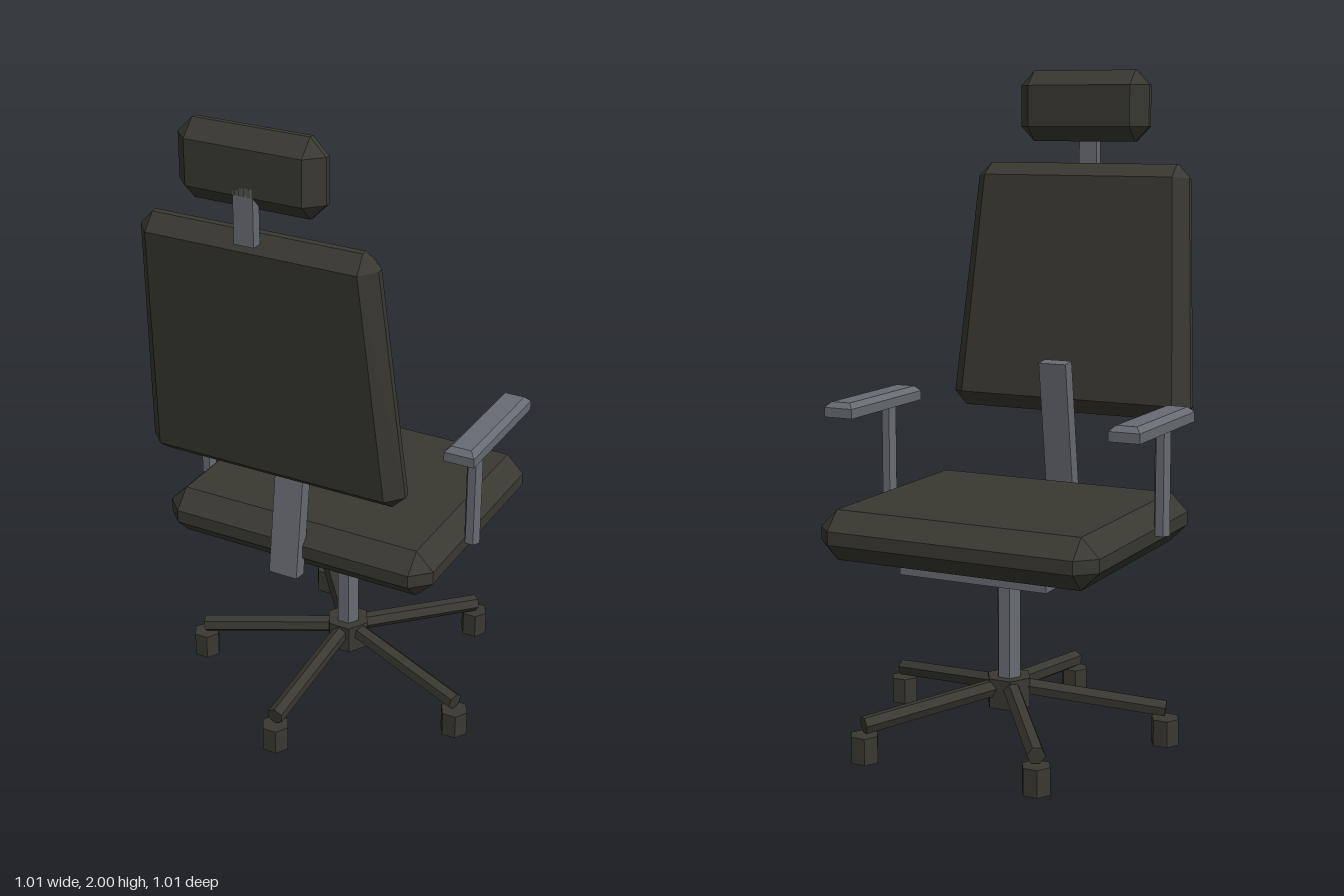
import * as THREE from 'three';
import { ConvexGeometry } from 'three/addons/geometries/ConvexGeometry.js';

const dark = new THREE.MeshStandardMaterial({ color: 0x393831 });
dark.name = 'charcoal upholstery';
const grey = new THREE.MeshStandardMaterial({ color: 0x686b73 });
grey.name = 'grey metal';

// Box with every edge chamfered by b; taper(y) scales the width
function chamferBox(w, h, d, b, taper = () => 1) {
  const points = [];
  for (const sx of [-1, 1]) for (const sy of [-1, 1]) for (const sz of [-1, 1]) {
    for (const [ix, iy, iz] of [[0, b, b], [b, 0, b], [b, b, 0]]) {
      const y = sy * (h / 2 - iy);
      points.push(new THREE.Vector3(sx * (w / 2 - ix) * taper(y), y, sz * (d / 2 - iz)));
    }
  }
  return new ConvexGeometry(points);
}

// Slab with only its top edges chamfered
function padGeometry(w, h, d, b) {
  const points = [];
  for (const sx of [-1, 1]) for (const sz of [-1, 1]) {
    for (const [y, i] of [[-h / 2, 0], [h / 2 - b, 0], [h / 2, b]]) {
      points.push(new THREE.Vector3(sx * (w / 2 - i), y, sz * (d / 2 - i)));
    }
  }
  return new ConvexGeometry(points);
}

// Upright hexagonal prism with corners on the x axis, flat-sided
function hexPrism(r, h) {
  const g = new THREE.CylinderGeometry(r, r, h, 6).rotateY(Math.PI / 6).toNonIndexed();
  g.computeVertexNormals();
  return g;
}

export function createModel() {
  const chair = new THREE.Group();
  chair.name = 'officeChair';

  const add = (name, geometry, material, x, y, z, tilt = 0) => {
    const mesh = new THREE.Mesh(geometry, material);
    mesh.name = name;
    mesh.position.set(x, y, z);
    mesh.rotation.x = tilt;
    chair.add(mesh);
    return mesh;
  };

  // Cushions
  add('seat', chamferBox(0.89, 0.15, 0.765, 0.055), dark, 0, 0.655, -0.0875);
  const backHeight = 0.785;
  const backTaper = (y) => 1 - (0.07 * y) / (backHeight / 2);
  add('backrest', chamferBox(0.772, backHeight, 0.104, 0.043, backTaper), dark, 0, 1.322, 0.395, 0.12);
  add('headrest', chamferBox(0.44, 0.22, 0.108, 0.046), dark, 0, 1.89, 0.453);

  // Supports
  add('headrestPost', new THREE.BoxGeometry(0.06, 0.16, 0.032), grey, 0, 1.77, 0.491);
  add('backStrut', new THREE.BoxGeometry(0.092, 0.53, 0.045), grey, 0, 0.843, 0.275, -0.14);
  const axisZ = -0.08;
  add('underPlate', new THREE.BoxGeometry(0.475, 0.05, 0.475), grey, 0, 0.555, axisZ);
  add('column', hexPrism(0.038, 0.37), grey, 0, 0.345, axisZ);

  // Armrests
  for (const [side, s] of [['left', 1], ['right', -1]]) {
    add(side + 'ArmPost', hexPrism(0.025, 0.32), grey, s * 0.458, 0.815, 0);
    add(side + 'ArmPad', padGeometry(0.094, 0.045, 0.414, 0.016), grey, s * 0.46, 0.9975, -0.084);
  }

  // Five-legged base
  add('hub', hexPrism(0.071, 0.09), dark, 0, 0.145, axisZ);
  const up = new THREE.Vector3(0, 1, 0);
  for (let i = 0; i < 5; i++) {
    const a = (i * Math.PI * 2) / 5;
    const x = Math.sin(a), z = Math.cos(a);
    const inner = new THREE.Vector3(0, 0.165, axisZ);
    const outer = new THREE.Vector3(0.475 * x, 0.108, axisZ + 0.475 * z);
    const along = outer.clone().sub(inner);
    const geometry = new THREE.CylinderGeometry(0.027, 0.027, along.length(), 6).toNonIndexed();
    geometry.computeVertexNormals();
    const mid = inner.clone().add(outer).multiplyScalar(0.5);
    const leg = add('leg' + (i + 1), geometry, dark, mid.x, mid.y, mid.z);
    leg.quaternion.setFromUnitVectors(up, along.normalize());
    add('castor' + (i + 1), hexPrism(0.044, 0.08), dark, 0.473 * x, 0.04, axisZ + 0.473 * z);
  }
  return chair;
}
